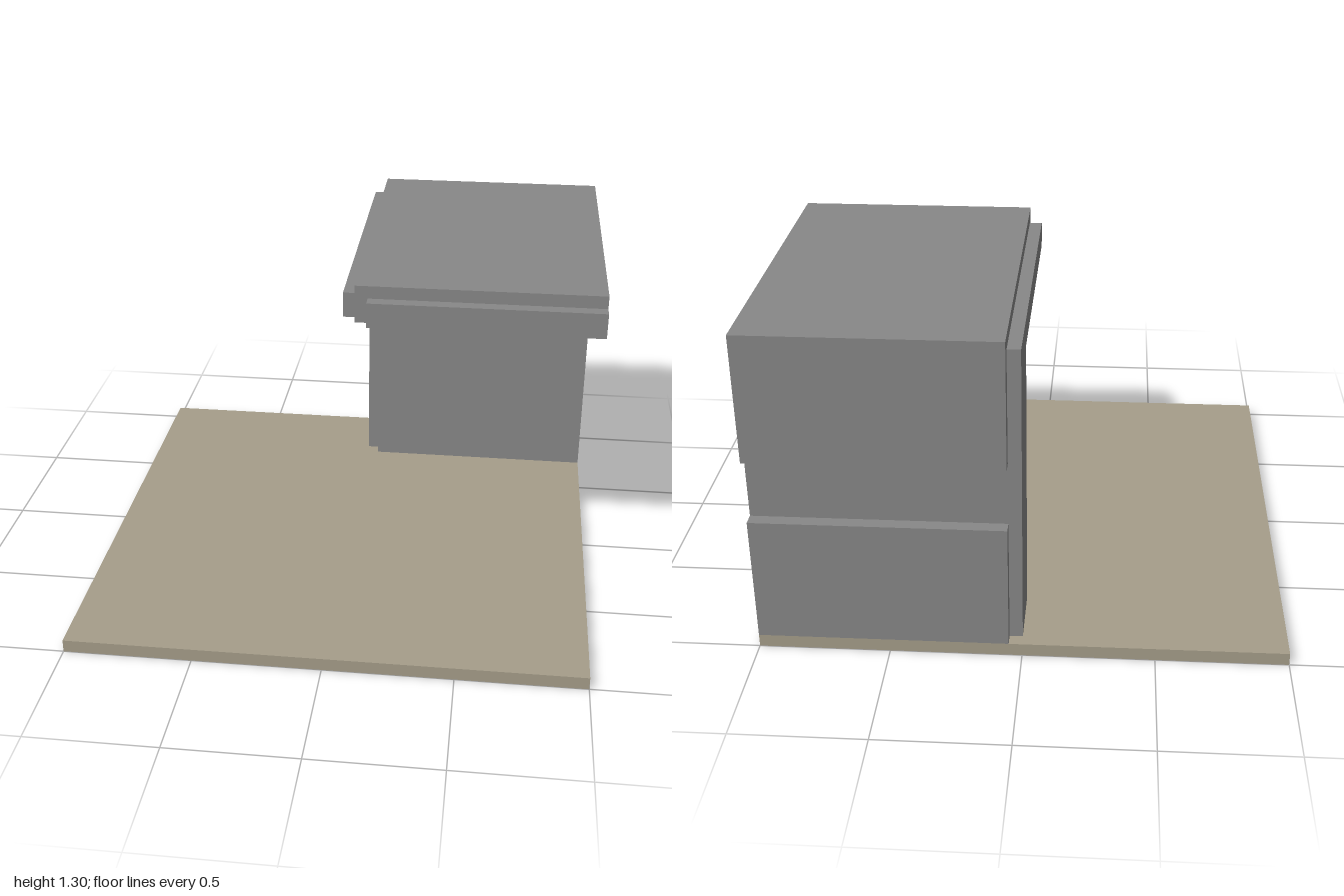
import * as THREE from 'three';

export function createModel() {
  const model = new THREE.Group();
  const stone = new THREE.MeshStandardMaterial({ color: 0x888888 });
  stone.name = 'grey concrete';
  const sand = new THREE.MeshStandardMaterial({ color: 0xa69e8a });
  sand.name = 'sand ground';

  const add = (name, geometry, material) => {
    const mesh = new THREE.Mesh(geometry, material);
    mesh.name = name;
    model.add(mesh);
    return mesh;
  };

  // Box given by its limits on each axis
  const box = (name, [x0, x1], [y0, y1], [z0, z1], material) =>
    add(name, new THREE.BoxGeometry(x1 - x0, y1 - y0, z1 - z0), material)
      .position.set((x0 + x1) / 2, (y0 + y1) / 2, (z0 + z1) / 2);

  // Side profile of [z, y] points, extruded from x0 to x1
  const profile = (name, points, x0, x1) => {
    const shape = new THREE.Shape(points.map(([z, y]) => new THREE.Vector2(-z, y)));
    const geometry = new THREE.ExtrudeGeometry(shape, { depth: x1 - x0, bevelEnabled: false });
    geometry.rotateY(Math.PI / 2).translate(x0, 0, 0);
    add(name, geometry, stone);
  };

  // Ground slab
  box('base', [-1, 1], [0, 0.05], [-1, 1], sand);

  // Rear wall with cantilevered roof and a groove across the back
  profile('wallAndRoof', [
    [-1, 0.05], [-0.65, 0.05], [-0.65, 1.15], [0.35, 1.15], [0.35, 1.3],
    [-1, 1.3], [-1, 0.8], [-0.95, 0.8], [-0.95, 0.55], [-1, 0.55],
  ], 0.05, 1);

  // Inset trim along the open side of wall and roof
  profile('sideTrim', [
    [-0.95, 0.05], [-0.7, 0.05], [-0.7, 1.15], [0.3, 1.15], [0.3, 1.25], [-0.95, 1.25],
  ], 0, 0.05);

  // Trim along the front edge of the roof
  box('frontTrim', [0.1, 1], [1.15, 1.25], [0.35, 0.4], stone);

  return model;
}
